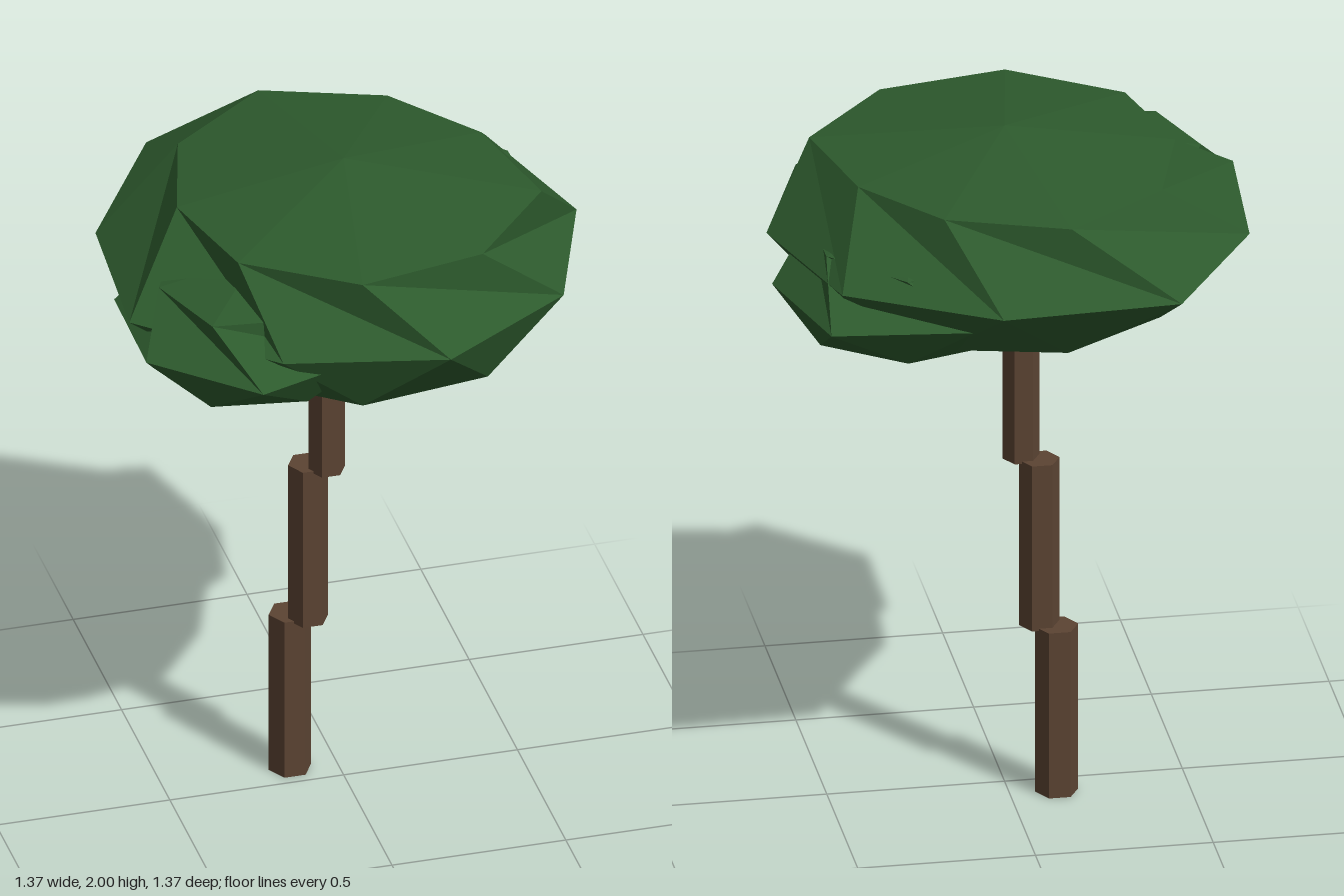
import * as THREE from 'three';

// Faceted, squashed blob: two poles and three rings whose radii vary per corner.
// The upper and lower rings are turned by half a step against the middle one.
function blobGeometry(height, upper, middle, lower) {
  const n = middle.length;
  const dy = height * Math.SQRT1_2;
  const rings = [[upper, dy, 0.5], [middle, 0, 0], [lower, -dy, 0.5]].map(([radii, y, shift]) =>
    radii.map((r, i) => {
      const angle = ((i + shift) / n) * Math.PI * 2;
      return [r * Math.cos(angle), y, r * Math.sin(angle)];
    }));
  const points = [];
  const tri = (a, b, c) => points.push(...a, ...b, ...c);
  for (let i = 0; i < n; i++) {
    const j = (i + 1) % n;
    tri([0, height, 0], rings[0][j], rings[0][i]);
    for (let k = 0; k < 2; k++) {
      tri(rings[k][i], rings[k][j], rings[k + 1][i]);
      tri(rings[k][j], rings[k + 1][j], rings[k + 1][i]);
    }
    tri([0, -height, 0], rings[2][i], rings[2][j]);
  }
  const geometry = new THREE.BufferGeometry();
  geometry.setAttribute('position', new THREE.Float32BufferAttribute(points, 3));
  geometry.computeVertexNormals();
  return geometry;
}

export function createModel() {
  const model = new THREE.Group();
  model.name = 'tree';
  const bark = new THREE.MeshStandardMaterial({ color: 0x5c4433, flatShading: true });
  bark.name = 'bark brown';
  const leaf = new THREE.MeshStandardMaterial({ color: 0x2d5a2d, flatShading: true });
  leaf.name = 'leaf green';

  const add = (name, geometry, material, x, y, z) => {
    const mesh = new THREE.Mesh(geometry, material);
    mesh.name = name;
    mesh.position.set(x, y, z);
    model.add(mesh);
    return mesh;
  };

  // Trunk: three stepped hexagonal posts
  [
    ['lowerTrunk', 0.061, -0.132, -0.082],
    ['middleTrunk', 0.057, -0.089, -0.049],
    ['upperTrunk', 0.052, -0.044, -0.016],
  ].forEach(([name, radius, x, z], i) => {
    const post = new THREE.CylinderGeometry(radius, radius, 0.503, 6);
    post.rotateY(Math.PI / 6);
    add(name, post, bark, x, 0.2515 + i * 0.496, z);
  });

  // Main canopy
  add('mainCanopy', blobGeometry(0.275,
    [0.55, 0.54, 0.547, 0.517, 0.48, 0.505, 0.549, 0.483, 0.468],
    [0.67, 0.67, 0.69, 0.667, 0.73, 0.69, 0.767, 0.70, 0.697],
    [0.50, 0.56, 0.55, 0.50, 0.50, 0.50, 0.52, 0.50, 0.49]), leaf, 0, 1.725, 0);

  // Smaller clumps pushing out of the sides
  add('backLeftClump', blobGeometry(0.188,
    [0.30, 0.29, 0.29, 0.29, 0.30, 0.35, 0.30],
    [0.40, 0.40, 0.41, 0.41, 0.41, 0.43, 0.478],
    [0.33, 0.29, 0.29, 0.29, 0.29, 0.31, 0.32]), leaf, 0.28, 1.638, -0.15);
  add('frontRightClump', blobGeometry(0.18,
    [0.28, 0.28, 0.31, 0.28, 0.28, 0.28, 0.28],
    [0.40, 0.40, 0.44, 0.405, 0.40, 0.40, 0.40],
    [0.28, 0.30, 0.32, 0.30, 0.28, 0.28, 0.28]), leaf, -0.31, 1.673, 0.21);

  return model;
}
